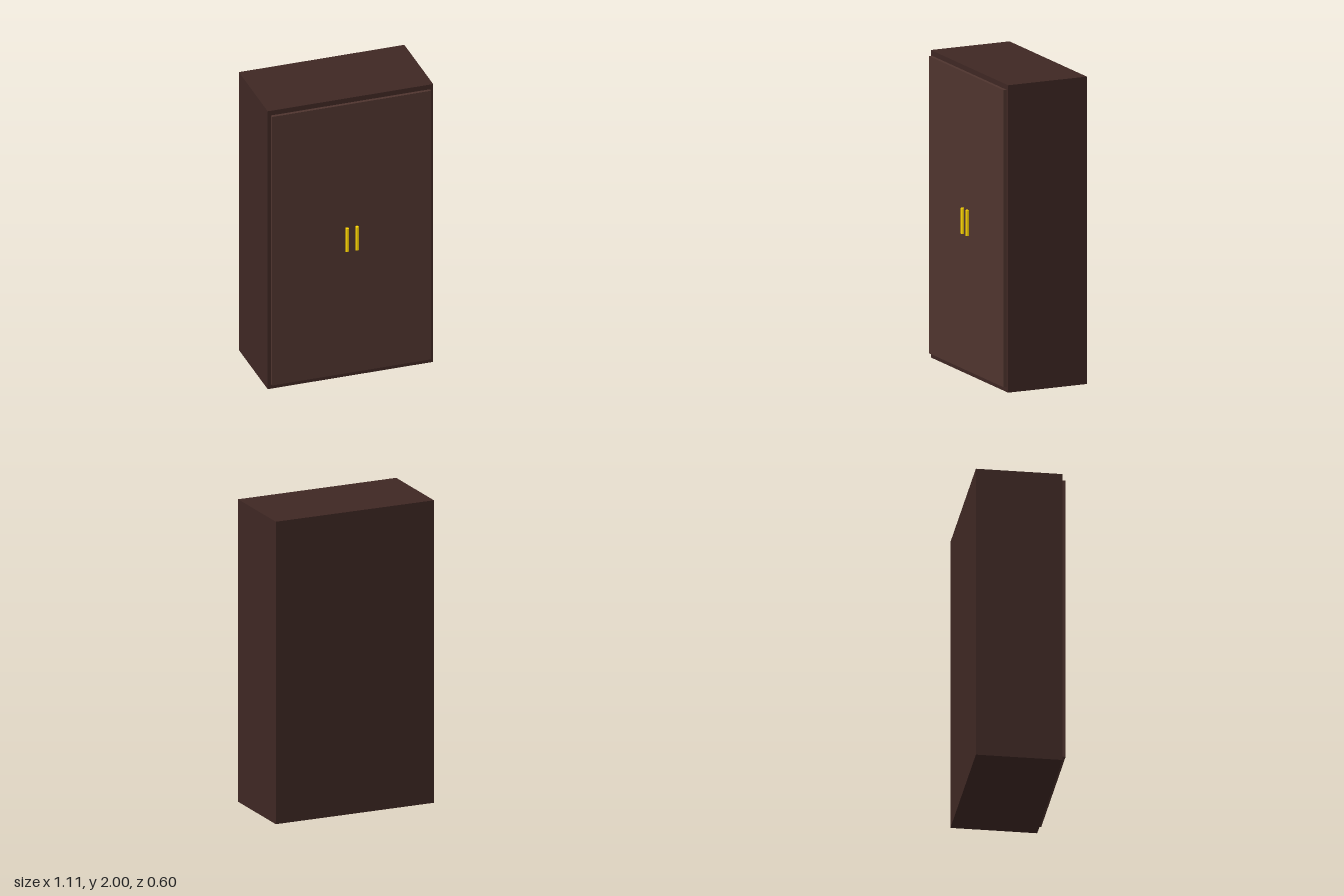
import * as THREE from 'three';

export function createModel() {
  const group = new THREE.Group();
  const material = (color) => new THREE.MeshStandardMaterial({ color });

  const add = (name, geometry, mat, x, y, z) => {
    const mesh = new THREE.Mesh(geometry, mat);
    mesh.name = name;
    mesh.position.set(x, y, z);
    group.add(mesh);
  };

  // Solid cabinet, set back so the doors and handles fit in the total depth
  const depth = 0.556, back = -0.3;
  const front = back + depth;
  add('cabinetBody', new THREE.BoxGeometry(1.111, 2, depth), material(0x3e2723), 0, 1, back + depth / 2);

  // Closed door front, flush across the middle
  const doorDepth = 0.022;
  add('doorFront', new THREE.BoxGeometry(1.067, 1.933, doorDepth), material(0x4e342e), 0, 1, front + doorDepth / 2);

  // A pair of upright round handles touching the door front
  const radius = 0.011;
  const handle = new THREE.CylinderGeometry(radius, radius, 0.167, 16);
  const gold = material(0xffd700);
  for (const [name, side] of [['leftHandle', 1], ['rightHandle', -1]]) {
    add(name, handle, gold, side * 0.033, 1, front + doorDepth + radius);
  }

  return group;
}
